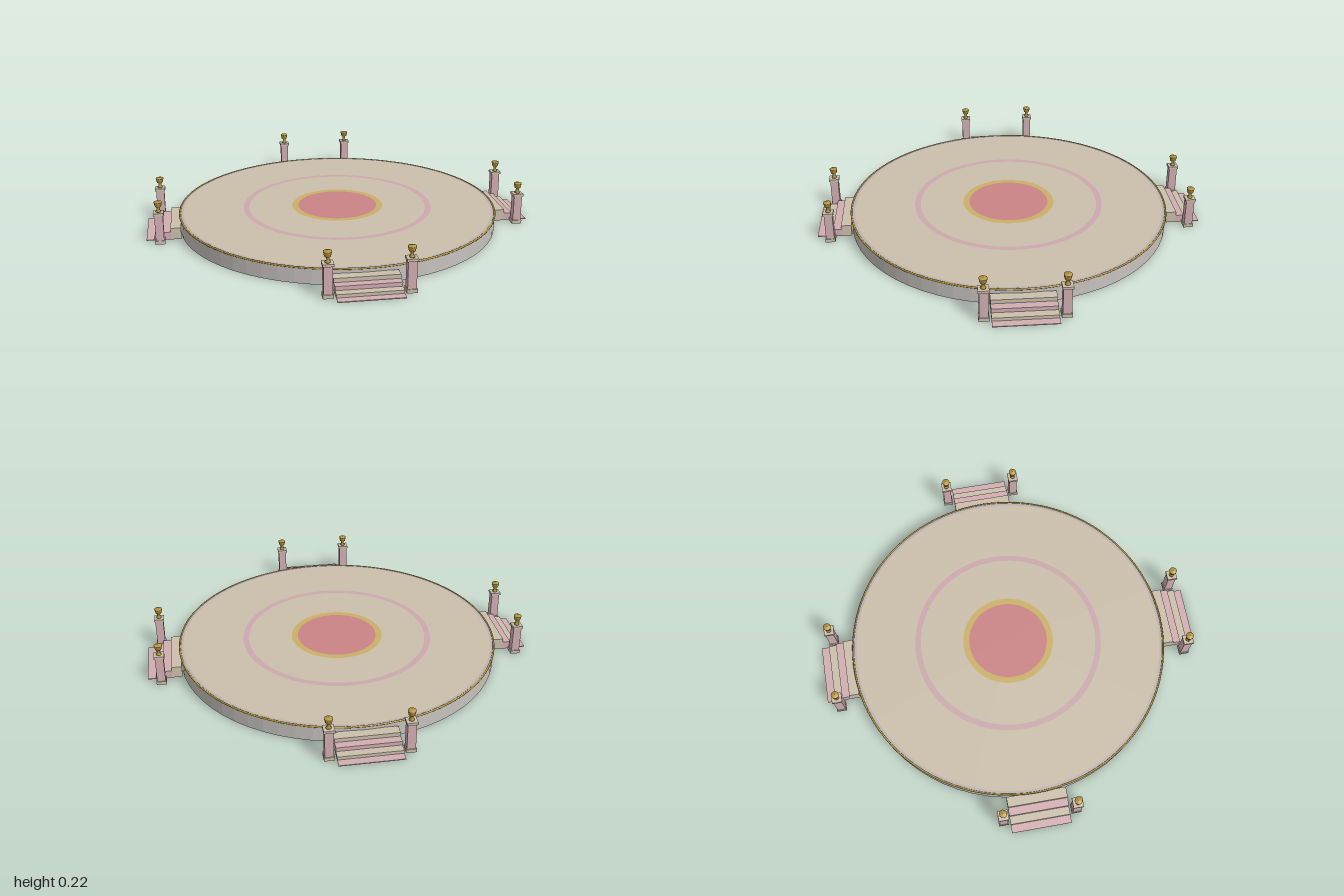
import * as THREE from 'three';

const mat = (name, color, extra = {}) => {
  const m = new THREE.MeshStandardMaterial({ color, ...extra });
  m.name = name;
  return m;
};

export function createModel() {
  const beige = mat('beige stone', 0xcbbfab);
  const grey = mat('pale grey stone', 0xc6c2be, { flatShading: true });
  const edge = mat('lilac grey inlay', 0xbbb1b1);
  const pink = mat('pink stone', 0xd2aeb2);
  const inlay = mat('mauve inlay', 0xcba9ad);
  const rose = mat('rose centre', 0xca8486);
  const ochre = mat('ochre inlay', 0xcab068);
  const gold = mat('gold', 0xb6963e);

  const model = new THREE.Group();
  model.name = 'roundPlatform';
  const add = (parent, name, geo, material, x = 0, y = 0, z = 0) => {
    const mesh = new THREE.Mesh(geo, material);
    mesh.name = name;
    mesh.position.set(x, y, z);
    parent.add(mesh);
    return mesh;
  };

  // Round base with a floor
  const R = 0.83, H = 0.08;
  add(model, 'platformBase', new THREE.CylinderGeometry(R, R, H, 64), grey, 0, H / 2);
  const flat = (name, inner, outer, y, material) => {
    const geo = inner > 0 ? new THREE.RingGeometry(inner, outer, 64) : new THREE.CircleGeometry(outer, 64);
    add(model, name, geo.rotateX(-Math.PI / 2), material, 0, y);
  };
  flat('floor', 0, 0.812, H + 0.002, beige);
  flat('edgeInlay', 0.812, R, H + 0.002, edge);
  flat('middleRing', 0.467, 0.497, H + 0.004, inlay);
  flat('centreBorder', 0.208, 0.24, H + 0.004, ochre);
  flat('centreDisc', 0, 0.208, H + 0.004, rose);

  // Gold trim around the upper edge
  add(model, 'goldTrim', new THREE.TorusGeometry(R, 0.005, 8, 96).rotateX(Math.PI / 2), gold, 0, H);

  // Urn-shaped lamp
  const lampProfile = [[0, 0], [0.013, 0], [0.013, 0.005], [0.008, 0.009], [0.008, 0.025],
    [0.015, 0.029], [0.02, 0.049], [0.02, 0.054], [0, 0.059]].map(p => new THREE.Vector2(...p));
  const lampGeo = new THREE.LatheGeometry(lampProfile, 12);

  // Four stairways, each flanked by two posts
  const tops = [0.06, 0.04, 0.02, 0.004];
  const depth = 0.041;
  for (let i = 0; i < 4; i++) {
    const stair = new THREE.Group();
    stair.name = 'stairway' + (i + 1);
    stair.rotation.y = i * Math.PI / 2;
    model.add(stair);

    tops.forEach((h, k) => {
      const z0 = k === 0 ? 0.825 : 0.836 + k * depth;
      const z1 = 0.836 + (k + 1) * depth;
      add(stair, 'step' + (4 - k), new THREE.BoxGeometry(0.308, h, z1 - z0),
        k % 2 ? pink : beige, 0, h / 2, (z0 + z1) / 2);
    });

    for (const side of [-1, 1]) {
      const post = new THREE.Group();
      post.name = side > 0 ? 'leftPost' : 'rightPost';
      post.position.set(side * 0.188, 0, 0.93);
      stair.add(post);
      add(post, 'plinth', new THREE.BoxGeometry(0.05, 0.018, 0.05), beige, 0, 0.009);
      add(post, 'shaft', new THREE.BoxGeometry(0.042, 0.134, 0.042), pink, 0, 0.085);
      add(post, 'cap', new THREE.BoxGeometry(0.052, 0.013, 0.052), beige, 0, 0.1585);
      add(post, 'lamp', lampGeo, gold, 0, 0.165);
    }
  }
  return model;
}
